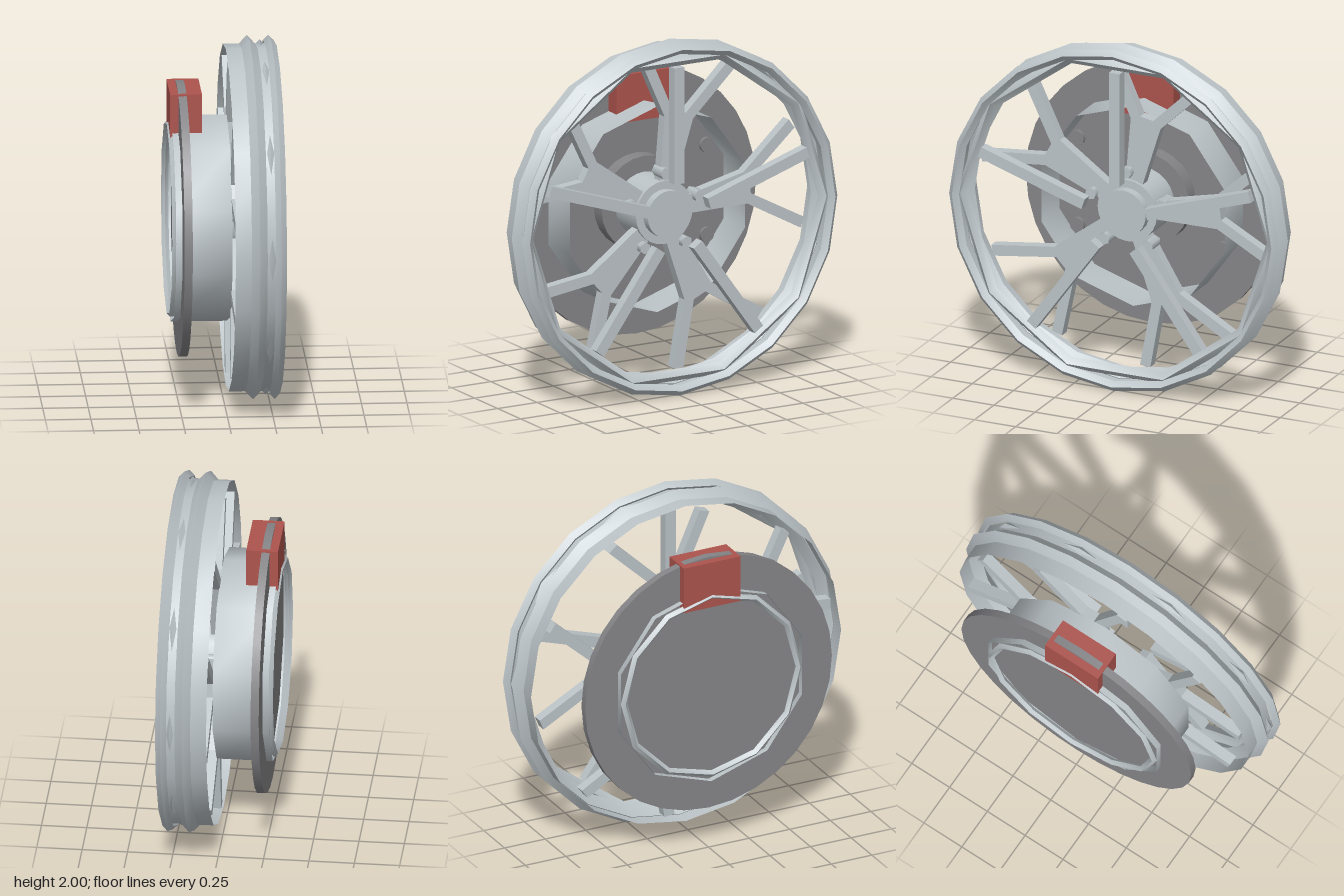
import * as THREE from 'three';
import { toCreasedNormals } from 'three/addons/utils/BufferGeometryUtils.js';

const mat = (name, color, side = THREE.FrontSide) =>
  new THREE.MeshStandardMaterial({ name, color, side });

export function createModel() {
  const metal = mat('lightMetal', 0xbcc4c8, THREE.DoubleSide);
  const dark = mat('darkMetal', 0x858588);
  const red = mat('caliperRed', 0xad544d);

  // The wheel is built facing local +z, then turned to face +x
  const wheel = new THREE.Group();
  wheel.name = 'wheel';
  wheel.position.y = 1;
  wheel.rotation.y = Math.PI / 2;

  const add = (name, geo, material, parent = wheel) => {
    const m = new THREE.Mesh(geo, material);
    m.name = name;
    parent.add(m);
    return m;
  };

  // Ring turned around the axle; profile is [radius, depth] pairs
  const turned = (name, profile, sides, start = 0, crease = 0.6) => {
    const g = new THREE.LatheGeometry(
      profile.map(([r, d]) => new THREE.Vector2(r, d)), sides, start);
    g.rotateX(Math.PI / 2);
    return add(name, toCreasedNormals(g, crease), metal);
  };
  // Ring with a diamond cross-section
  const diamondRing = (name, r, d, t, w, sides, start) =>
    turned(name, [[r, d - w], [r + t, d], [r, d + w], [r - t, d], [r, d - w]], sides, start);
  // Solid cylinder from depth a to depth b
  const disc = (name, r, a, b, sides, material, x = 0, y = 0, parent = wheel) => {
    const g = new THREE.CylinderGeometry(r, r, b - a, sides);
    g.rotateX(Math.PI / 2);
    g.translate(x, y, (a + b) / 2);
    return add(name, g, material, parent);
  };

  // Rim: thin barrel, two lips and an inner ten-sided ring
  turned('rimBarrel', [[0.955, 0.02], [0.955, 0.25]], 20);
  diamondRing('middleLip', 0.95, 0.152, 0.05, 0.048, 20);
  diamondRing('outerLip', 0.97, 0.27, 0.03, 0.03, 20);
  diamondRing('innerRing', 0.94, 0.222, 0.035, 0.035, 10, Math.PI / 2);

  // Open drum with a narrow lip at the back
  turned('drum', [[0.585, -0.285], [0.585, 0.025]], 10, 0, 1);
  diamondRing('drumLip', 0.538, -0.285, 0.02, 0.02, 12);

  // Brake disc, its flange and six studs
  disc('brakeDisc', 0.76, -0.25, -0.205, 32, dark);
  disc('discFlange', 0.27, -0.21, -0.12, 24, dark);
  for (let i = 0; i < 6; i++) {
    const a = Math.PI / 2 + i * Math.PI / 3;
    disc('discStud', 0.043, -0.21, -0.185, 12, dark, 0.51 * Math.cos(a), 0.51 * Math.sin(a));
  }

  // Hub
  disc('hub', 0.18, -0.2, 0.1, 24, metal);
  disc('hubCap', 0.134, 0.09, 0.15, 24, metal);

  // Forked spoke outline, pointing along +x and mirrored about that line
  const half = [[0.56, 0.04], [0.875, 0.26], [0.845, 0.315], [0.53, 0.092], [0.15, 0.05]];
  const outline = [...half, ...half.map(([x, y]) => [x, -y]).reverse()];
  const forkGeo = new THREE.ExtrudeGeometry(
    new THREE.Shape(outline.map(([x, y]) => new THREE.Vector2(x, y))),
    { depth: 0.06, bevelEnabled: false });
  forkGeo.translate(0, 0, 0.022);
  const barGeo = new THREE.BoxGeometry(0.66, 0.064, 0.06);
  barGeo.translate(0.53, 0, 0.235);

  // Five sets of straight spoke, forked spoke and hub bolt
  for (let i = 0; i < 5; i++) {
    const a = Math.PI / 2 + i * Math.PI * 0.4;
    const set = new THREE.Group();
    set.name = 'spokeSet';
    set.rotation.z = a;
    wheel.add(set);
    add('straightSpoke', barGeo, metal, set);
    add('forkedSpoke', forkGeo, metal, set).rotation.z = -0.195;
    disc('hubBolt', 0.034, 0.02, 0.12, 6, metal, 0.225, 0, set);
  }

  // Brake caliper over the top of the disc
  const caliper = add('caliper', new THREE.BoxGeometry(0.35, 0.27, 0.175), red);
  caliper.position.set(0, 0.61, -0.208);

  const model = new THREE.Group();
  model.name = 'wheelAssembly';
  model.add(wheel);
  return model;
}
